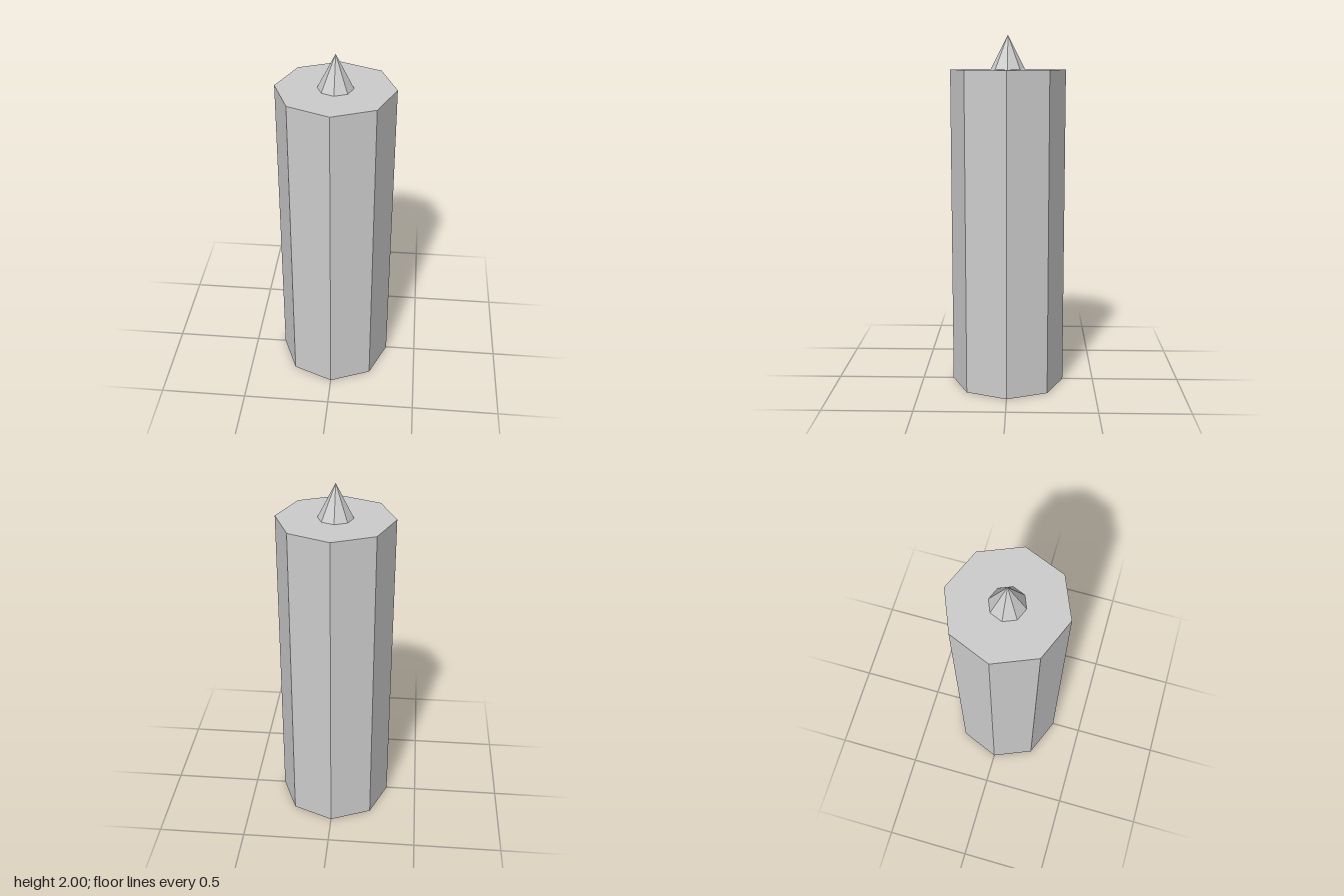
import * as THREE from 'three';

const SIDES = 8;
const BODY_RADIUS = 0.323, BODY_TOP = 1.81;
const RECESS_RADIUS = 0.205, RECESS_DEPTH = 0.06;
const TIP_RADIUS = 0.097, TIP_TOP = 2;

// Octagonal solid from a profile of [radius, height], listed from bottom to top
function octagonal(name, profile, material) {
  const points = profile.map(([r, y]) => new THREE.Vector2(r, y));
  const mesh = new THREE.Mesh(new THREE.LatheGeometry(points, SIDES), material);
  mesh.name = name;
  return mesh;
}

export function createModel() {
  const group = new THREE.Group();
  group.name = 'octagonalColumn';
  const grey = new THREE.MeshStandardMaterial({ color: 0xcccccc, flatShading: true });

  // Column with a shallow recess in its underside
  group.add(octagonal('body', [
    [0, RECESS_DEPTH],
    [RECESS_RADIUS, RECESS_DEPTH],
    [RECESS_RADIUS, 0],
    [BODY_RADIUS, 0],
    [BODY_RADIUS, BODY_TOP],
    [0, BODY_TOP],
  ], grey));

  // Small pointed tip standing on the flat top
  group.add(octagonal('tip', [[TIP_RADIUS, BODY_TOP], [0, TIP_TOP]], grey));

  return group;
}
